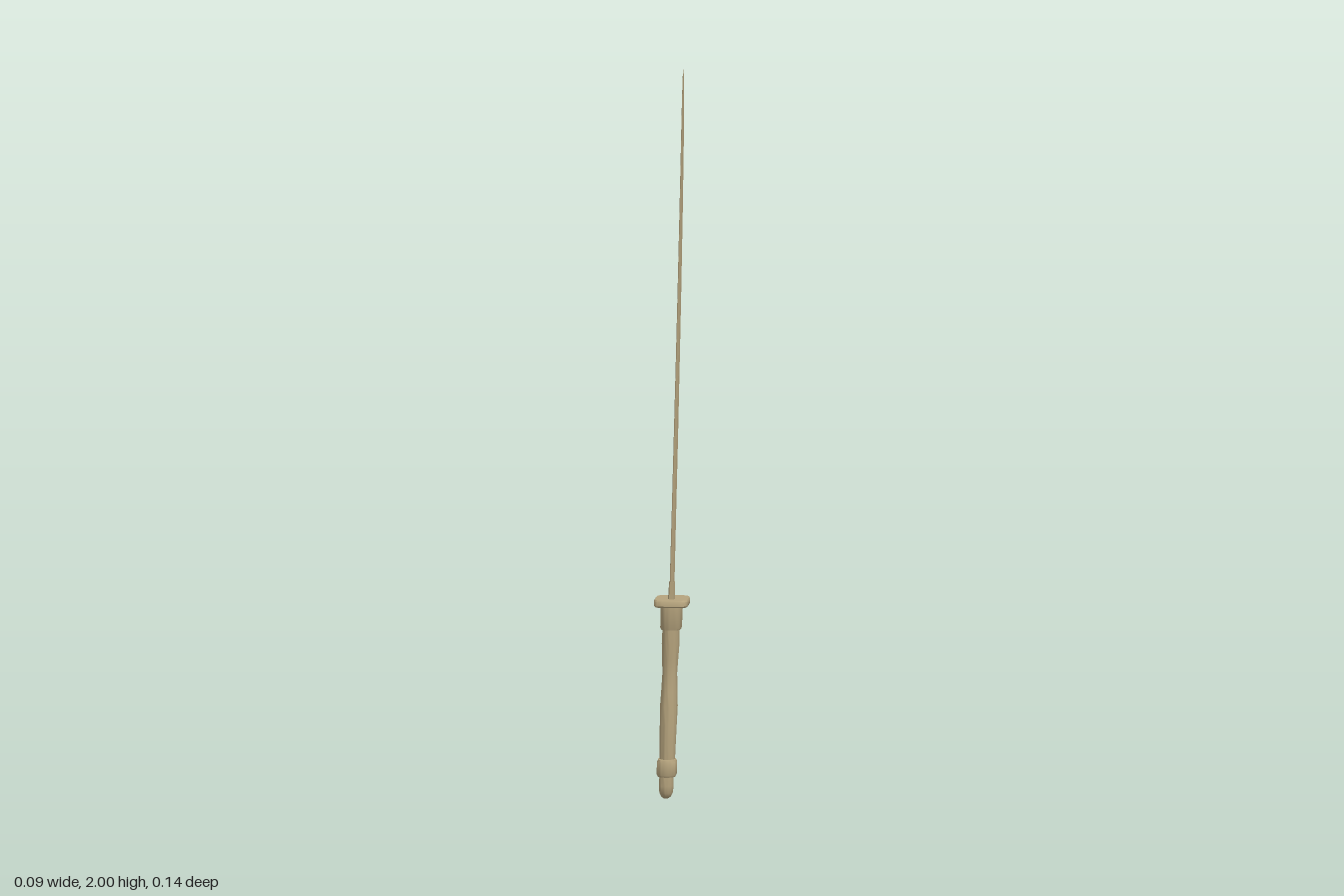
import * as THREE from 'three';
import { toCreasedNormals } from 'three/addons/utils/BufferGeometryUtils.js';

const material = new THREE.MeshStandardMaterial({ color: 0xb5a37d });

// The whole sword leans slightly towards +x as it rises
const leanX = (y) => -0.017 + 0.026 * y;

// Skin a stack of equal-length rings of [x, y, z] and close both ends
function loft(name, rings, crease) {
  const n = rings[0].length, pos = rings.flat(2), index = [];
  const last = rings.length - 1;
  for (let r = 0; r < last; r++) {
    for (let i = 0; i < n; i++) {
      const a = r * n + i, b = r * n + (i + 1) % n;
      index.push(a, a + n, b + n, a, b + n, b);
    }
  }
  for (const r of [0, last]) {
    const c = pos.length / 3;
    for (let k = 0; k < 3; k++) pos.push(rings[r].reduce((s, p) => s + p[k], 0) / n);
    for (let i = 0; i < n; i++) {
      const a = r * n + i, b = r * n + (i + 1) % n;
      index.push(...(r ? [c, b, a] : [c, a, b]));
    }
  }
  const g = new THREE.BufferGeometry();
  g.setAttribute('position', new THREE.Float32BufferAttribute(pos, 3));
  g.setIndex(index);
  const mesh = new THREE.Mesh(toCreasedNormals(g, crease), material);
  mesh.name = name;
  return mesh;
}

// Superellipse ring; power 2 is an ellipse, higher is squarer
function oval(y, rx, zFront, zBack, power = 2, sides = 32) {
  const cz = (zFront + zBack) / 2, rz = (zFront - zBack) / 2, ring = [];
  const bend = (v) => Math.sign(v) * Math.abs(v) ** (2 / power);
  for (let i = 0; i < sides; i++) {
    const a = i / sides * Math.PI * 2;
    ring.push([leanX(y) + rx * bend(Math.cos(a)), y, cz + rz * bend(Math.sin(a))]);
  }
  return ring;
}

const turned = (name, rows, power) =>
  loft(name, rows.map(([y, rx, zf, zb]) => oval(y, rx, zf, zb, power)), 0.7);

// Five-sided blade section: two ridges, a flat spine at zs and an edge at ze
function bladeRing([y, zs, ze, t]) {
  const x = leanX(y), ridge = zs + (ze - zs) * 0.3;
  return [[x + t, y, ridge], [x + t * 0.6, y, zs], [x - t * 0.6, y, zs], [x - t, y, ridge], [x, y, ze]];
}

export function createModel() {
  const sword = new THREE.Group();
  sword.name = 'sword';

  // Rows are [y, half width in x, front z, back z]
  sword.add(turned('pommel', [
    [0, 0.006, 0.020, 0.006], [0.005, 0.013, 0.030, -0.004], [0.015, 0.018, 0.037, -0.010],
    [0.035, 0.020, 0.039, -0.013], [0.065, 0.019, 0.038, -0.014],
  ], 2.3));
  sword.add(turned('pommelCollar', [
    [0.06, 0.024, 0.041, -0.020], [0.066, 0.027, 0.044, -0.023],
    [0.1, 0.027, 0.043, -0.024], [0.107, 0.024, 0.040, -0.022],
  ], 2.5));
  sword.add(turned('grip', [
    [0.1, 0.021, 0.030, -0.021], [0.15, 0.022, 0.031, -0.023], [0.2, 0.023, 0.030, -0.028],
    [0.25, 0.024, 0.028, -0.034], [0.29, 0.022, 0.025, -0.034], [0.34, 0.020, 0.021, -0.030],
    [0.38, 0.022, 0.022, -0.033], [0.42, 0.024, 0.025, -0.038], [0.465, 0.023, 0.026, -0.039],
  ]));
  sword.add(turned('ferrule', [
    [0.46, 0.027, 0.027, -0.042], [0.465, 0.029, 0.029, -0.044], [0.527, 0.030, 0.029, -0.046],
  ], 2.5));

  // Thin rounded-square guard
  sword.add(turned('guard', [
    [0.523, 0.044, 0.037, -0.065], [0.527, 0.047, 0.040, -0.069],
    [0.539, 0.047, 0.039, -0.070], [0.543, 0.044, 0.036, -0.067],
  ], 4.5));

  // Blade rows are [y, spine z, edge z, half thickness]
  sword.add(loft('bladeCollar', [
    [0.538, 0.013, -0.034, 0.010], [0.59, 0.012, -0.033, 0.008],
  ].map(bladeRing), 0.3));
  sword.add(loft('blade', [
    [0.58, 0.010, -0.032, 0.0065], [0.8, 0.010, -0.032, 0.006], [1.0, 0.010, -0.030, 0.0058],
    [1.2, 0.013, -0.025, 0.0054], [1.4, 0.019, -0.017, 0.005], [1.6, 0.030, -0.005, 0.0045],
    [1.75, 0.042, 0.008, 0.004], [1.86, 0.053, 0.019, 0.0036], [1.92, 0.060, 0.028, 0.003],
    [1.96, 0.064, 0.040, 0.0022], [1.985, 0.067, 0.053, 0.0014], [2.0, 0.069, 0.067, 0.0004],
  ].map(bladeRing), 0.3));

  return sword;
}
